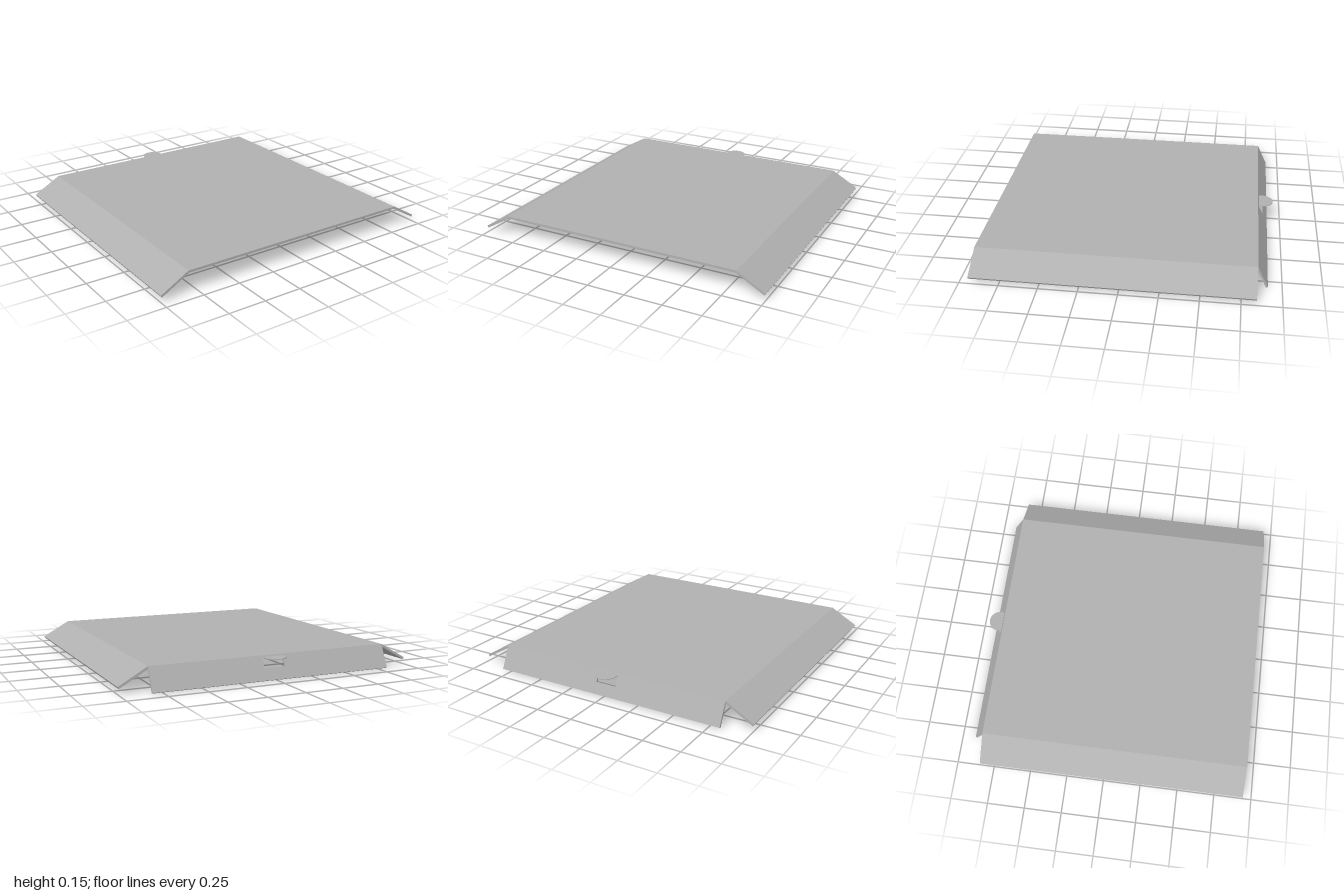
import * as THREE from 'three';

const BACK = -0.843, FRONT = 0.94, TOP = 0.15, THICK = 0.013;

function shapeFrom(points) {
  return new THREE.Shape(points.map(([x, y]) => new THREE.Vector2(x, y)));
}

function extrude(shape, depth) {
  return new THREE.ExtrudeGeometry(shape, { depth, bevelEnabled: false, curveSegments: 12 });
}

export function createModel() {
  const group = new THREE.Group();
  const sheetMetal = new THREE.MeshStandardMaterial({ color: 0xb0b0b0 });
  sheetMetal.name = 'sheetMetal';

  const add = (name, geometry) => {
    const mesh = new THREE.Mesh(geometry, sheetMetal);
    mesh.name = name;
    group.add(mesh);
    return mesh;
  };

  // Flat panel with both side wings folded down, as one constant section
  const half = [[0.811, TOP - 0.015], [0.993, 0.032], [1, 0.045], [0.815, TOP]];
  const mirrored = half.map(([x, y]) => [-x, y]).reverse();
  const panel = add('foldedPanel', extrude(shapeFrom([...half, ...mirrored]), FRONT - BACK));
  panel.position.z = BACK;

  // Sloping rear flange with a rectangular slot
  const flange = shapeFrom([[-0.815, -0.16], [0.815, -0.16], [0.815, 0], [-0.815, 0]]);
  flange.holes.push(new THREE.Path([
    [-0.072, -0.083], [-0.072, -0.016], [0.072, -0.016], [0.072, -0.083],
  ].map(([x, y]) => new THREE.Vector2(x, y))));
  const rear = add('rearFlange', extrude(flange, THICK));
  rear.position.set(0, TOP, BACK);
  rear.rotation.x = 0.446;

  // Rounded tab bent out level above the slot
  const tab = new THREE.Shape();
  tab.moveTo(-0.07, 0.85);
  tab.lineTo(0.07, 0.85);
  tab.lineTo(0.07, 0.874);
  tab.absarc(0, 0.874, 0.07, 0, Math.PI, false);
  tab.closePath();
  const latch = add('latchTab', extrude(tab, 0.004));
  latch.rotation.x = -Math.PI / 2;
  latch.position.y = 0.136;

  return group;
}
